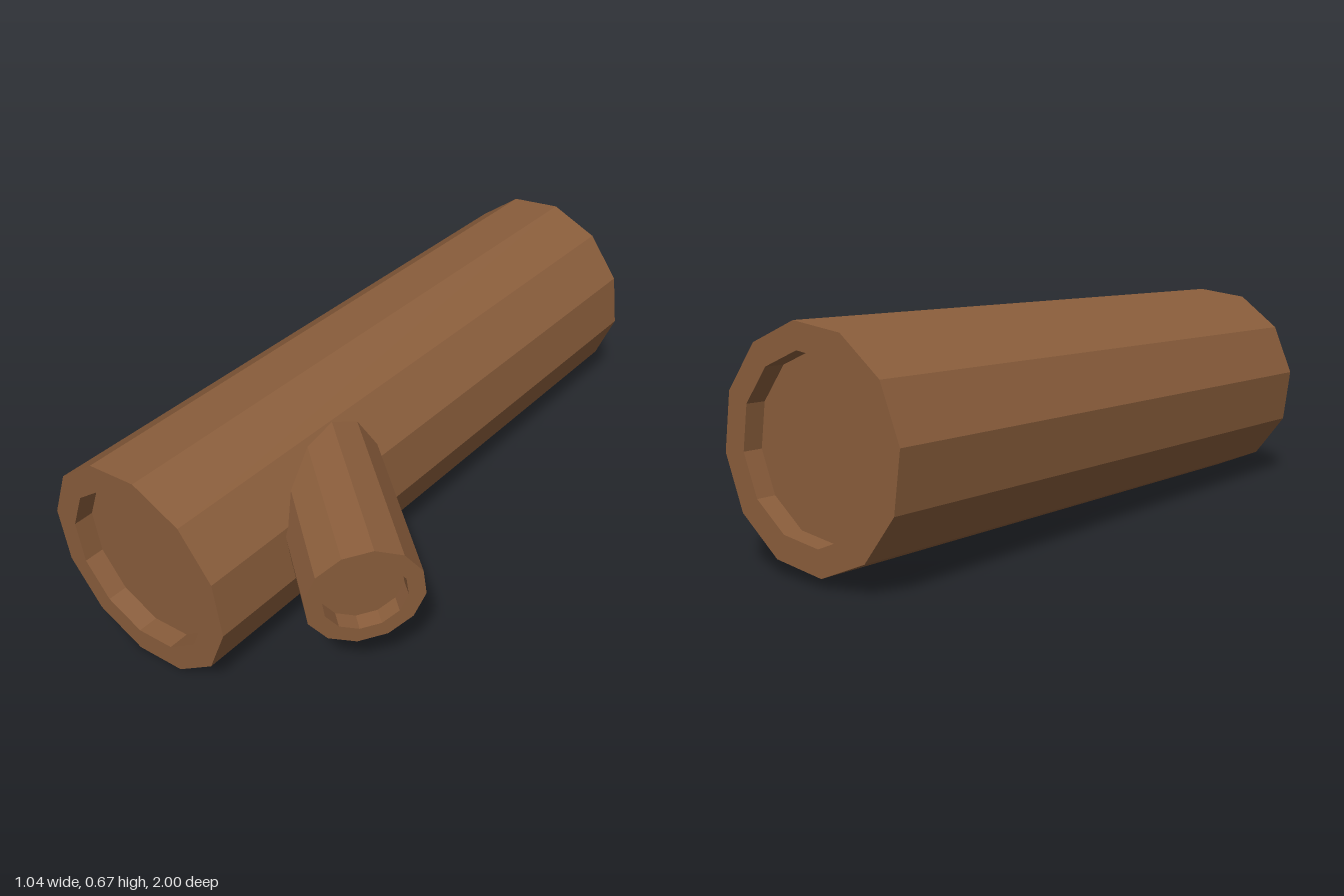
import * as THREE from 'three';

const bark = new THREE.MeshStandardMaterial({ color: 0x8b5e3c, flatShading: true });
bark.name = 'bark brown';

// Twelve-sided log from a to b with a recessed disc at each end; corner points at one edge of its outline
function makeLog(name, a, b, corner, radius, inner, recess) {
  const h = a.distanceTo(b) / 2;
  const profile = [
    [0, -h + recess], [inner, -h + recess], [inner, -h], [radius, -h],
    [radius, h], [inner, h], [inner, h - recess], [0, h - recess],
  ].map(([x, y]) => new THREE.Vector2(x, y));
  const mesh = new THREE.Mesh(new THREE.LatheGeometry(profile, 12), bark);
  const axis = b.clone().sub(a).normalize();
  const side = axis.clone().cross(corner).normalize();
  const up = side.clone().cross(axis);
  mesh.quaternion.setFromRotationMatrix(new THREE.Matrix4().makeBasis(side, axis, up));
  mesh.position.copy(a).add(b).multiplyScalar(0.5);
  mesh.name = name;
  return mesh;
}

export function createModel() {
  const v = (x, y, z) => new THREE.Vector3(x, y, z);
  const group = new THREE.Group();
  group.name = 'hollowLog';

  // Main trunk lying along z
  group.add(makeLog('trunk', v(-0.045, 0.35, -0.974), v(-0.202, 0.323, 0.974),
    v(0.139, 0.99, 0), 0.324, 0.249, 0.06));

  // Branch stub growing out of the trunk's left side
  const tip = v(0.407, 0.388, 0.77);
  const root = tip.clone().addScaledVector(v(0.745, -0.065, 0.667).normalize(), -0.6);
  group.add(makeLog('branchStub', root, tip, v(0.023, 0.162, -0.01), 0.163, 0.115, 0.047));

  return group;
}
